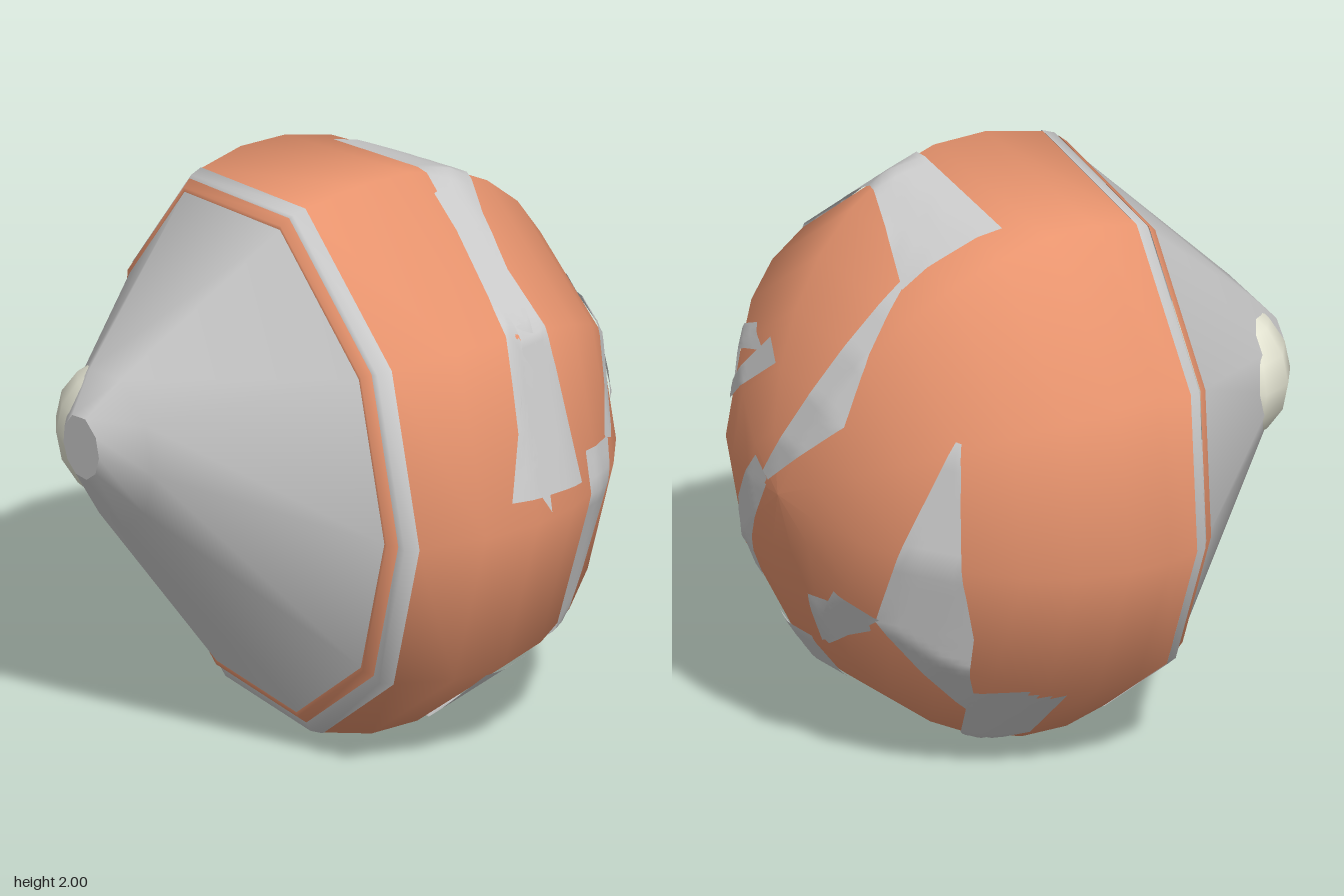
import * as THREE from 'three';

const ORANGE = 0xe8946e, GREY = 0xcccccc, CREAM = 0xe6e6d4;
const SIDES = 10;
const rad = THREE.MathUtils.degToRad;

function surface(positions, indices) {
  const g = new THREE.BufferGeometry();
  g.setAttribute('position', new THREE.Float32BufferAttribute(positions, 3));
  g.setIndex(indices);
  g.computeVertexNormals();
  return g;
}

function part(name, geometry, color) {
  const material = new THREE.MeshStandardMaterial({ color, side: THREE.DoubleSide });
  const mesh = new THREE.Mesh(geometry, material);
  mesh.name = name;
  return mesh;
}

// Skin over uneven ten-sided rings, front to back: centre x, y, z, scale, tilt
function ringSurface(rings) {
  const pos = [], idx = [];
  for (const [cx, cy, cz, s, tilt] of rings) {
    for (let i = 0; i < SIDES; i++) {
      const a = rad(36 * i + 3 + 7 * Math.sin(rad(36 * (i - 1.6))));
      const r = s * (0.955 + 0.09 * Math.sin(a) ** 2);
      const x = r * Math.cos(a), y = r * Math.sin(a);
      pos.push(cx + x, cy + y, cz + (x + y * 0.25) * tilt);
    }
  }
  for (let j = 0; j < rings.length - 1; j++) {
    for (let i = 0; i < SIDES; i++) {
      const a = j * SIDES + i, b = j * SIDES + (i + 1) % SIDES;
      idx.push(a, a + SIDES, b, b, a + SIDES, b + SIDES);
    }
  }
  return surface(pos, idx);
}

// Worn strip laid on the shell, seen along a direction; path holds u, v, width in hundredths
function wornStrip(shell, azimuth, elevation, path) {
  const a = rad(azimuth), e = rad(elevation);
  const dir = new THREE.Vector3(Math.sin(a) * Math.cos(e), Math.sin(e), Math.cos(a) * Math.cos(e));
  const right = new THREE.Vector3(Math.cos(a), 0, -Math.sin(a));
  const up = dir.clone().cross(right);
  const ray = new THREE.Raycaster();
  const STEPS = 14, ACROSS = 8;

  // Left and right edge points at each path point
  const points = [];
  for (let i = 0; i < path.length; i += 3) {
    points.push(new THREE.Vector3(path[i], path[i + 1], path[i + 2]).divideScalar(100));
  }
  const edges = points.map((p, i) => {
    const from = points[Math.max(i - 1, 0)], to = points[Math.min(i + 1, points.length - 1)];
    const side = new THREE.Vector2(from.y - to.y, to.x - from.x).setLength(p.z / 2);
    const mid = new THREE.Vector2(p.x, p.y);
    return [mid.clone().add(side), mid.clone().sub(side)];
  });

  const pos = [], idx = [], onShell = [];
  const rows = (points.length - 1) * STEPS;
  for (let r = 0; r <= rows; r++) {
    const k = Math.min(Math.floor(r / STEPS), points.length - 2), t = r / STEPS - k;
    const left = edges[k][0].clone().lerp(edges[k + 1][0], t);
    const far = edges[k][1].clone().lerp(edges[k + 1][1], t);
    for (let c = 0; c <= ACROSS; c++) {
      const q = left.clone().lerp(far, c / ACROSS);
      const origin = new THREE.Vector3(0, 1, 0).addScaledVector(right, q.x)
        .addScaledVector(up, q.y).addScaledVector(dir, 4);
      ray.set(origin, dir.clone().negate());
      const hit = ray.intersectObject(shell)[0];
      onShell.push(Boolean(hit));
      pos.push(...(hit ? hit.point.addScaledVector(hit.face.normal, 0.01) : origin.set(0, 1, 0)).toArray());
    }
  }
  for (let r = 0; r < rows; r++) {
    for (let c = 0; c < ACROSS; c++) {
      const p = r * (ACROSS + 1) + c, n = p + ACROSS + 1;
      if ([p, p + 1, n, n + 1].every((v) => onShell[v])) idx.push(p, p + 1, n + 1, p, n + 1, n);
    }
  }
  return part('wornStrip', surface(pos, idx), GREY);
}

export function createModel() {
  const group = new THREE.Group();

  // Domed shell: tilted at the rim, rounding off to a point at the back
  const domeRings = [];
  for (let i = 0; i <= 9; i++) {
    const sin = Math.sin(rad(-17.5 + 107.5 * i / 9));
    const tilt = Math.max(0, -sin / 3);
    domeRings.push([-0.3 * tilt, 1, -0.05 - 0.905 * sin, Math.sqrt(1 - sin * sin), tilt]);
  }
  const shell = part('domedShell', ringSurface(domeRings), ORANGE);
  group.add(shell);

  // Stepped rim: grey band, then a narrow orange ring around the cone
  group.add(part('rimBand', ringSurface([
    [-0.04, 1.01, 0.275, 0.915, 0.105], [-0.035, 1, 0.265, 0.94, 0.105], [-0.03, 1, 0.22, 0.957, 0.1]]), GREY));
  group.add(part('rimRing', ringSurface([
    [-0.045, 1.01, 0.305, 0.875, 0.105], [-0.045, 1.01, 0.305, 0.895, 0.105], [-0.04, 1.01, 0.275, 0.92, 0.105]]), ORANGE));

  // Off-centre cone with a blunt tip
  group.add(part('cone', ringSurface([
    [-0.16, 1.15, 0.95, 0.11, 0.05], [-0.15, 1.12, 0.83, 0.27, 0.08], [-0.045, 1.01, 0.305, 0.88, 0.105]]), GREY));
  group.add(part('coneTip', ringSurface([[-0.16, 1.15, 0.95, 0, 0.05], [-0.16, 1.15, 0.95, 0.11, 0.05]]), GREY));

  // Pale knob bulging through the cone tip
  const knob = part('tipKnob', new THREE.SphereGeometry(1, 12, 8), CREAM);
  knob.scale.set(0.3, 0.26, 0.23);
  knob.position.set(-0.2, 1.13, 0.71);
  group.add(knob);

  // Worn patches on the left, top, back right and lower back left
  const worn = new THREE.Group();
  worn.name = 'wornPatches';
  const wear = (azimuth, elevation, ...paths) => {
    for (const path of paths) worn.add(wornStrip(shell, azimuth, elevation, path));
  };
  wear(90, 0, [24, 94, 10, 26, 50, 14, 22, 3, 34], [79, 42, 8, 62, 7, 6],
    [53, 9, 18, 44, -57, 6, 49, -66, 20]);
  wear(0, 90, [-27, 42, 36, 35, 28, 15, 92, 17, 12]);
  wear(215, 21, [15, 0, 2, 2, -66, 34, 11, -94, 3], [-18, -66, 6, -42, -68, 16],
    [-16, 50, 2, -35, 4, 18, -60, -22, 4], [-64, -23, 10, -76, -48, 8], [-88, 1, 4, -63, 20, 10]);
  wear(145, -29, [-50, -28, 14, -13, -64, 12, 39, -81, 8, 77, -56, 14],
    [46, 46, 10, 30, 29, 12, 22, 4, 8], [35, -14, 20, 27, -38, 14], [53, -17, 4, 75, -3, 16]);
  group.add(worn);
  return group;
}
